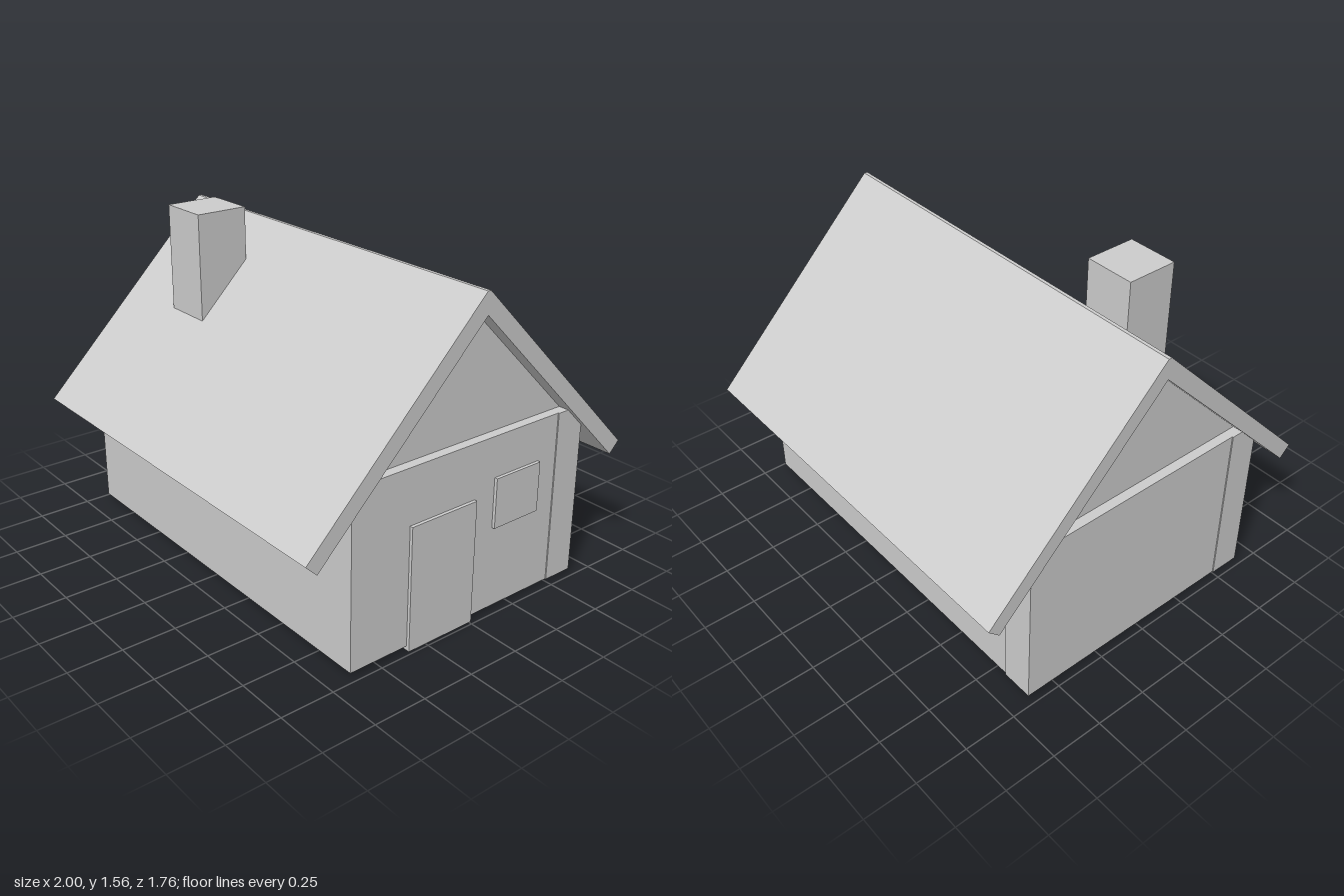
import * as THREE from 'three';

export function createModel() {
  const house = new THREE.Group();
  house.name = 'house';
  const material = new THREE.MeshStandardMaterial({ color: 0xcccccc, flatShading: true });

  const add = (name, geometry) => {
    const mesh = new THREE.Mesh(geometry, material);
    mesh.name = name;
    house.add(mesh);
    return mesh;
  };

  // Box given by its lowest and highest corner
  const box = (name, [x0, y0, z0], [x1, y1, z1]) =>
    add(name, new THREE.BoxGeometry(x1 - x0, y1 - y0, z1 - z0)
      .translate((x0 + x1) / 2, (y0 + y1) / 2, (z0 + z1) / 2));

  // Profile of [z, y] points, extruded along x from x0 to x1
  const prism = (name, points, x0, x1) => {
    const shape = new THREE.Shape(points.map(([z, y]) => new THREE.Vector2(-z, y)));
    const geometry = new THREE.ExtrudeGeometry(shape, { depth: x1 - x0, bevelEnabled: false });
    return add(name, geometry.rotateY(Math.PI / 2).translate(x0, 0, 0));
  };

  // Four walls overlapping at the corners in turn, open floor
  const base = 0.02, wallTop = 0.83;
  box('frontWall', [-0.975, base, 0.49], [0.82, wallTop, 0.64]);
  box('backWall', [-0.82, base, -0.64], [0.975, wallTop, -0.49]);
  box('leftWall', [0.82, base, -0.49], [0.97, wallTop, 0.64]);
  box('rightWall', [-0.97, base, -0.645], [-0.82, wallTop, 0.49]);

  // Recessed gable panels, standing on the end walls
  const gable = [[-0.56, wallTop - 0.01], [0.56, wallTop - 0.01], [0, 1.385]];
  prism('leftGable', gable, 0.85, 0.925);
  prism('rightGable', gable, -0.925, -0.85);

  // Pitched roof with square-cut eaves
  prism('roof', [
    [0.88, 0.602], [0.008, 1.475], [-0.008, 1.475], [-0.88, 0.602],
    [-0.827, 0.55], [0, 1.377], [0.827, 0.55],
  ], -1, 1);

  box('chimney', [-0.615, 1.05, 0.165], [-0.37, 1.56, 0.413]);

  // Door and window on the left end wall
  box('door', [0.93, 0, -0.01], [0.985, 0.575, 0.343]);
  box('window', [0.93, 0.408, -0.38], [0.985, 0.64, -0.122]);

  return house;
}
